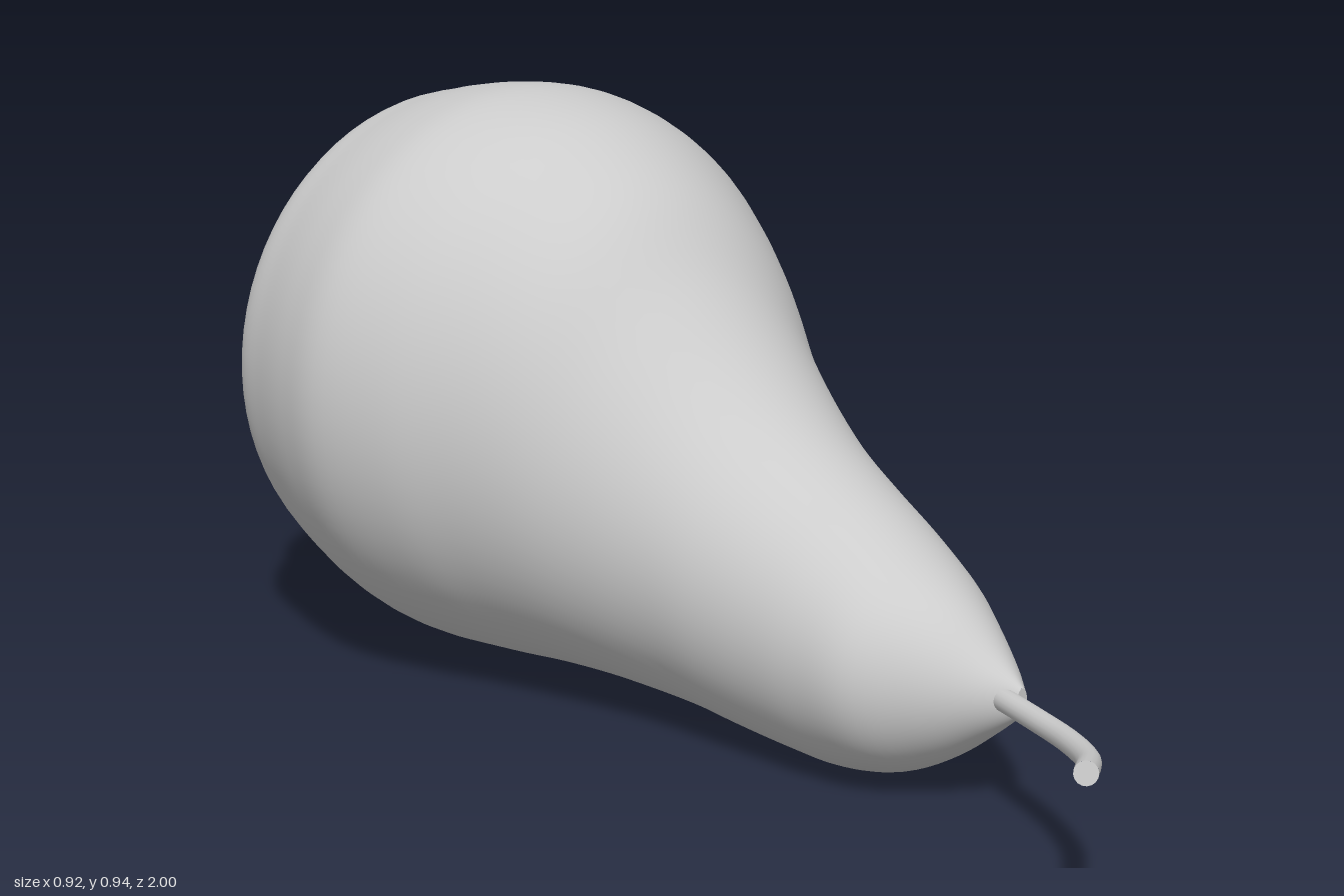
import * as THREE from 'three';

const skin = new THREE.MeshStandardMaterial({ color: 0xcccccc });
skin.name = 'paleGrey';

// Body stations from nose to base: z, top y, bottom y, min x, max x
const STATIONS = [
  [0.6, 0.207, 0.163, -0.011, 0.011],
  [0.55, 0.25, 0.122, -0.065, 0.05],
  [0.48, 0.312, 0.07, -0.13, 0.093],
  [0.4, 0.362, 0.03, -0.183, 0.14],
  [0.3, 0.415, 0.008, -0.2, 0.172],
  [0.2, 0.463, 0.007, -0.212, 0.195],
  [0.1, 0.52, 0.013, -0.228, 0.215],
  [0, 0.6, 0.022, -0.25, 0.24],
  [-0.1, 0.7, 0.028, -0.288, 0.272],
  [-0.2, 0.815, 0.03, -0.337, 0.323],
  [-0.3, 0.885, 0.027, -0.383, 0.376],
  [-0.4, 0.928, 0.021, -0.43, 0.425],
  [-0.52, 0.949, 0.016, -0.462, 0.461],
  [-0.62, 0.942, 0.023, -0.45, 0.45],
  [-0.72, 0.92, 0.048, -0.423, 0.423],
  [-0.8, 0.89, 0.084, -0.396, 0.396],
  [-0.85, 0.8, 0.13, -0.34, 0.34],
  [-0.89, 0.73, 0.172, -0.29, 0.29],
  [-0.92, 0.7, 0.19, -0.277, 0.277],
  [-0.945, 0.672, 0.215, -0.258, 0.258],
  [-0.965, 0.61, 0.282, -0.19, 0.19],
  [-0.985, 0.53, 0.36, -0.1, 0.1],
  [-1, 0.441, 0.439, -0.001, 0.001],
];

// Smooth loft of elliptical rings through the stations
function bodyGeometry(rings = 110, sides = 72) {
  const curve = (a, b, c) => new THREE.CatmullRomCurve3(
    STATIONS.map((s) => new THREE.Vector3(s[a], s[b], s[c])), false, 'catmullrom', 0.5);
  const heights = curve(0, 1, 2);
  const widths = curve(0, 3, 4);
  const positions = [];
  const indices = [];
  for (let i = 0; i <= rings; i++) {
    const h = heights.getPoint(i / rings);
    const w = widths.getPoint(i / rings);
    for (let j = 0; j < sides; j++) {
      const t = (j / sides) * Math.PI * 2;
      positions.push(
        (w.y + w.z) / 2 + ((w.z - w.y) / 2) * Math.cos(t),
        (h.y + h.z) / 2 + ((h.y - h.z) / 2) * Math.sin(t),
        h.x);
      if (i === rings) continue;
      const a = i * sides + j;
      const b = i * sides + ((j + 1) % sides);
      indices.push(a, a + sides, b, b, a + sides, b + sides);
    }
  }
  const geometry = new THREE.BufferGeometry();
  geometry.setAttribute('position', new THREE.Float32BufferAttribute(positions, 3));
  geometry.setIndex(indices);
  geometry.computeVertexNormals();
  return geometry;
}

export function createModel() {
  const group = new THREE.Group();
  group.name = 'pear';
  const add = (name, geometry, parent = group) => {
    const mesh = new THREE.Mesh(geometry, skin);
    mesh.name = name;
    parent.add(mesh);
    return mesh;
  };

  add('body', bodyGeometry());

  // Small flat oval closing the nose
  const nose = add('noseCap', new THREE.CircleGeometry(1, 24));
  nose.scale.set(0.011, 0.022, 1);
  nose.position.set(0, 0.185, 0.6);

  // Curved stem with a flat cut end
  const stem = new THREE.Group();
  stem.name = 'stem';
  group.add(stem);
  const path = new THREE.CatmullRomCurve3([
    new THREE.Vector3(-0.012, 0.188, 0.56),
    new THREE.Vector3(-0.055, 0.193, 0.68),
    new THREE.Vector3(-0.105, 0.203, 0.79),
    new THREE.Vector3(-0.18, 0.222, 0.9),
    new THREE.Vector3(-0.279, 0.251, 0.988),
  ]);
  const radius = 0.018;
  add('stalk', new THREE.TubeGeometry(path, 32, radius, 16), stem);
  const tip = add('stalkTip', new THREE.CircleGeometry(radius, 16), stem);
  tip.position.copy(path.getPoint(1));
  tip.quaternion.setFromUnitVectors(new THREE.Vector3(0, 0, 1), path.getTangent(1));

  return group;
}
